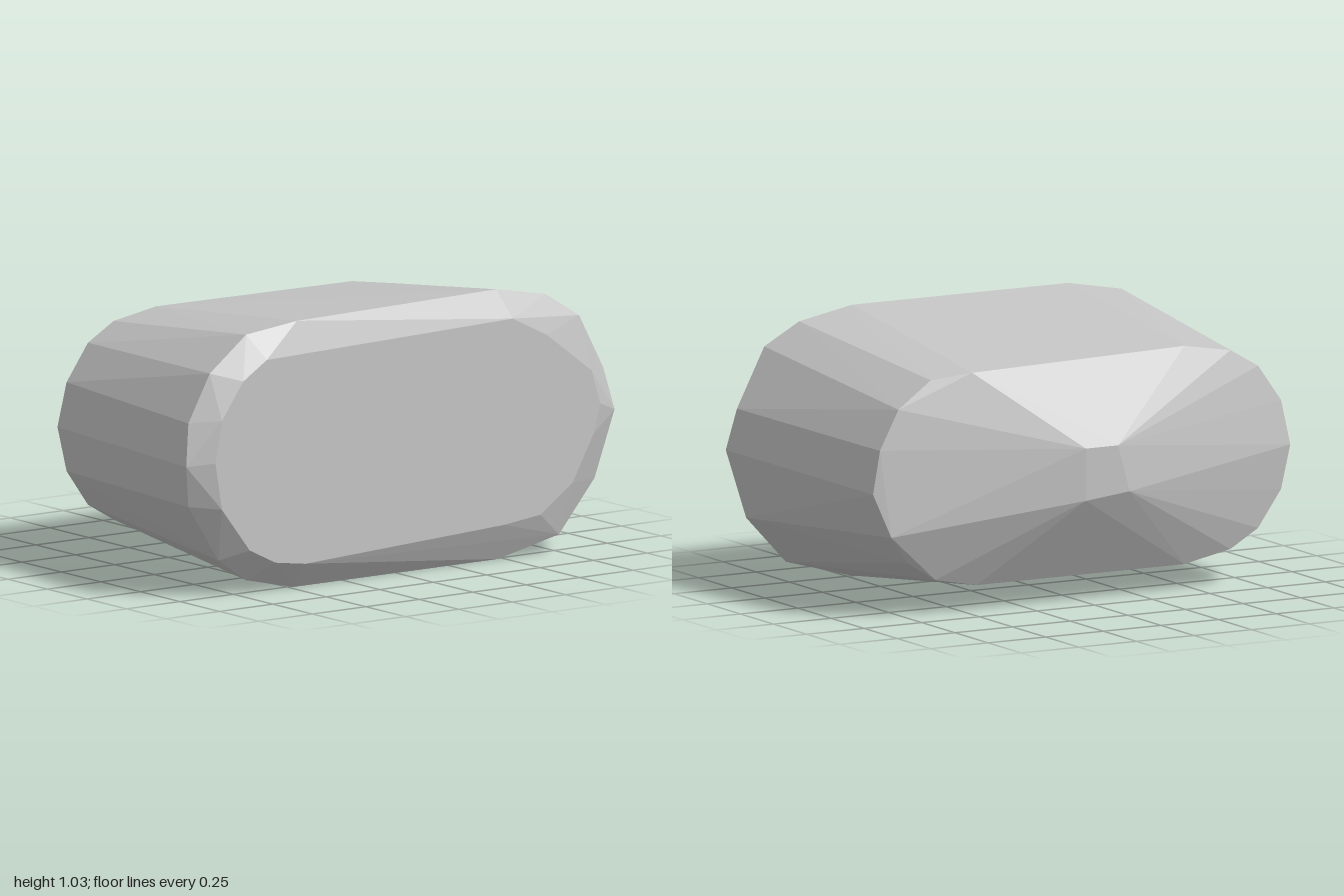
import * as THREE from 'three';
import { ConvexGeometry } from 'three/addons/geometries/ConvexGeometry.js';

// Turns [x, y, z] rows into vectors; a row without z uses the ring's own depth
const ring = (rows, depth) => rows.map(([x, y, z = depth]) => new THREE.Vector3(x, y, z));

export function createModel() {
  const group = new THREE.Group();
  group.name = 'facetedBlock';
  const grey = new THREE.MeshStandardMaterial({ color: 0xc4c4c4 });
  grey.name = 'stone grey';

  // Flat front face
  const frontFace = ring([
    [-0.66, 0.9], [-0.77, 0.83], [-0.87, 0.69], [-0.9, 0.53], [-0.87, 0.35],
    [-0.74, 0.18], [-0.62, 0.12], [-0.48, 0.1], [0.45, 0.145], [0.62, 0.165],
    [0.77, 0.27], [0.87, 0.45], [0.9, 0.56], [0.86, 0.69], [0.65, 0.85], [0.49, 0.93],
  ], 0.59);

  // Widest rim, behind the front bevel
  const rim = ring([
    [-1, 0.52, 0.54], [-0.97, 0.68], [-0.87, 0.86], [-0.7, 0.99], [-0.49, 1.025, 0.55],
    [0.47, 1.033], [0.7, 0.99], [0.83, 0.9, 0.55], [0.97, 0.68], [1, 0.52, 0.545],
    [0.93, 0.26], [0.74, 0.07, 0.545], [0.48, 0], [-0.48, 0], [-0.7, 0.05],
    [-0.83, 0.14], [-0.97, 0.36],
  ], 0.513);

  // Narrower rim where the sides meet the back
  const backRim = ring([
    [-0.9, 0.52, -0.41], [-0.87, 0.69], [-0.77, 0.83], [-0.65, 0.9], [-0.45, 0.934],
    [0.49, 0.92, -0.427], [0.65, 0.9], [0.79, 0.8], [0.87, 0.65], [0.9, 0.485],
    [0.84, 0.32, -0.427], [0.75, 0.21], [0.63, 0.135], [0.45, 0.1], [-0.45, 0.1],
    [-0.65, 0.14], [-0.77, 0.21], [-0.87, 0.35],
  ], -0.393);

  // Small flat tip of the back
  const backTip = ring([[0.09, 0.62], [-0.05, 0.62], [-0.1, 0.44], [0.09, 0.42]], -0.59);

  const body = new THREE.Mesh(
    new ConvexGeometry([...frontFace, ...rim, ...backRim, ...backTip]), grey);
  body.name = 'stoneBody';
  group.add(body);
  return group;
}
